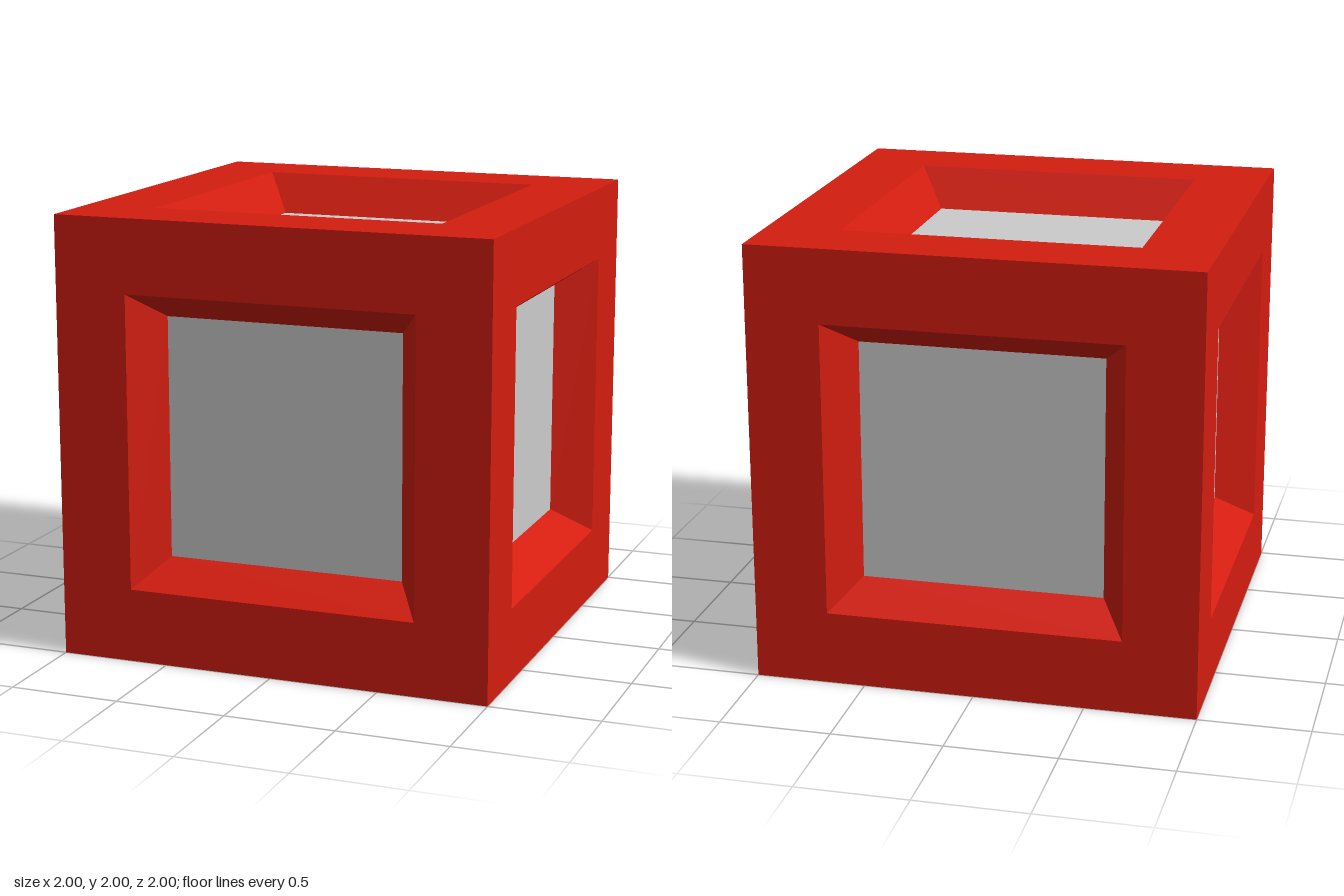
import * as THREE from 'three';

const OPENING = 0.667; // half width of the opening at the surface
const PANEL = 0.548;   // half width of the recessed panel
const DEPTH = 0.18;    // how far the panel is sunk

export function createModel() {
  const model = new THREE.Group();
  model.name = 'panelledCube';

  const red = new THREE.MeshStandardMaterial({ color: 0xd41d10, flatShading: true });
  const grey = new THREE.MeshStandardMaterial({ color: 0xcccccc });

  // Square frame with sloping recess walls: a four-sided lathe facing +y
  const profile = [[1, 1], [OPENING, 1], [PANEL, 1 - DEPTH]]
    .map(([half, y]) => new THREE.Vector2(half * Math.SQRT2, y));
  const frameGeometry = new THREE.LatheGeometry(profile, 4, Math.PI / 4).toNonIndexed();
  frameGeometry.computeVertexNormals();

  // Flat panel closing the bottom of the recess
  const panelGeometry = new THREE.PlaneGeometry(2 * PANEL, 2 * PANEL)
    .rotateX(-Math.PI / 2)
    .translate(0, 1 - DEPTH, 0);

  // The same frame and panel on all six sides
  const q = Math.PI / 2;
  const sides = {
    top: [0, 0], bottom: [2 * q, 0],
    front: [q, 0], back: [-q, 0],
    left: [0, -q], right: [0, q],
  };
  for (const [name, [rx, rz]] of Object.entries(sides)) {
    const side = new THREE.Group();
    side.name = name + 'Side';
    const frame = new THREE.Mesh(frameGeometry, red);
    frame.name = name + 'Frame';
    const panel = new THREE.Mesh(panelGeometry, grey);
    panel.name = name + 'Panel';
    side.add(frame, panel);
    side.rotation.set(rx, 0, rz);
    side.position.y = 1;
    model.add(side);
  }
  return model;
}
